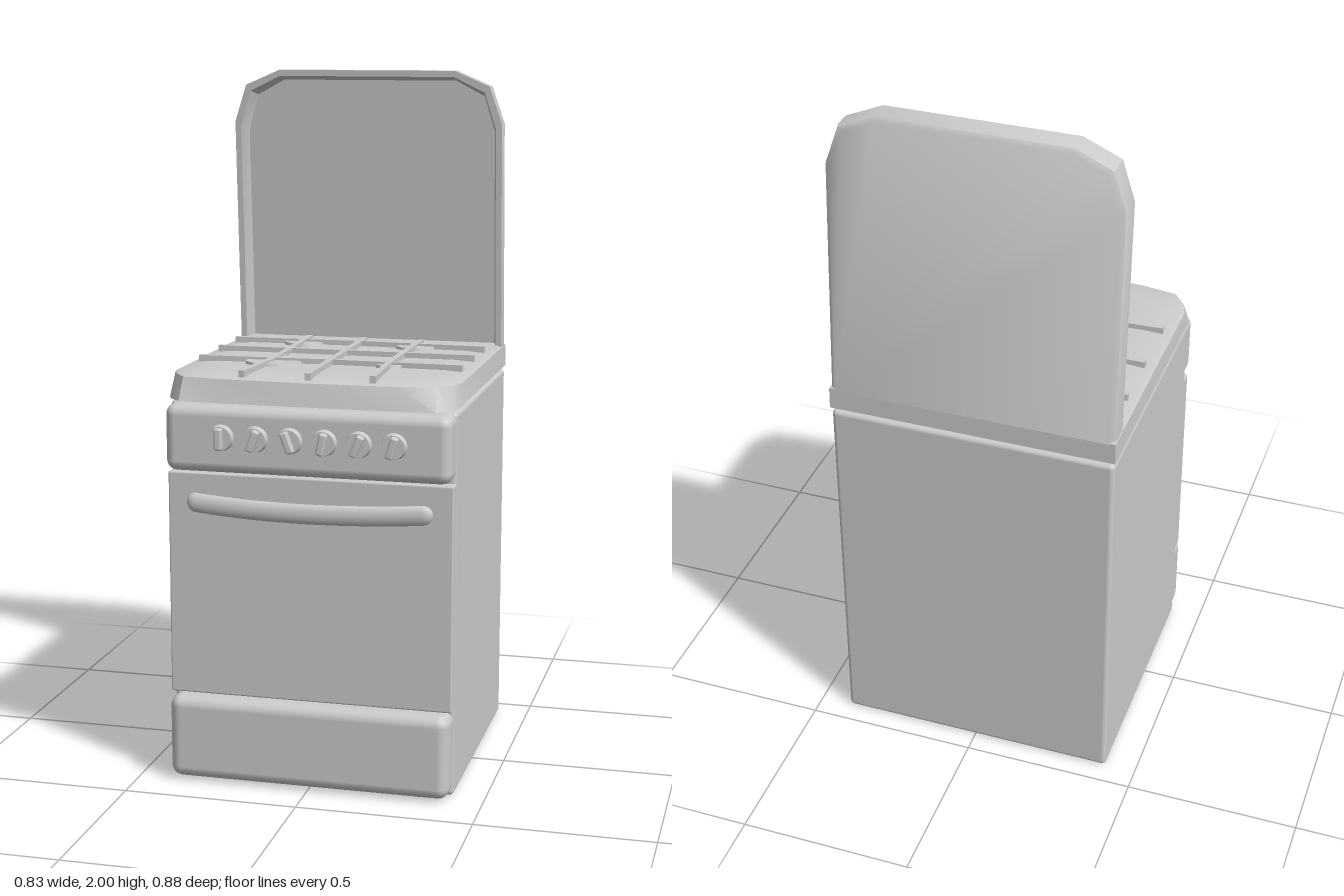
import * as THREE from 'three';
import { toCreasedNormals } from 'three/addons/utils/BufferGeometryUtils.js';
import { RoundedBoxGeometry } from 'three/addons/geometries/RoundedBoxGeometry.js';

// Skin a stack of equal-length convex rings and close both ends
function loft(rings, crease) {
  const n = rings[0].length, pos = [], idx = [];
  rings.forEach(r => r.forEach(p => pos.push(...p)));
  for (let i = 0; i < rings.length - 1; i++) {
    for (let j = 0; j < n; j++) {
      const a = i * n + j, b = i * n + (j + 1) % n;
      idx.push(a, b, a + n, b, b + n, a + n);
    }
  }
  const last = (rings.length - 1) * n;
  for (let j = 1; j < n - 1; j++) {
    idx.push(0, j + 1, j);
    idx.push(last, last + j, last + j + 1);
  }
  const g = new THREE.BufferGeometry();
  g.setAttribute('position', new THREE.Float32BufferAttribute(pos, 3));
  g.setIndex(idx);
  return toCreasedNormals(g, crease);
}

// Complete a half outline (+x side, ending on or near the middle) by mirroring
const mirrorX = half => [...half, ...half.slice().reverse().filter(p => p[0] > 0).map(([x, y]) => [-x, y])];

export function createModel() {
  const root = new THREE.Group();
  const mat = new THREE.MeshStandardMaterial({ color: 0xcccccc });
  const add = (name, geo, x = 0, y = 0, z = 0, parent = root) => {
    const m = new THREE.Mesh(geo, mat);
    m.name = name;
    m.position.set(x, y, z);
    parent.add(m);
    return m;
  };
  // Rounded box given by its bounds
  const block = (name, w, y0, y1, z0, z1, r) =>
    add(name, new RoundedBoxGeometry(w, y1 - y0, z1 - z0, 3, r), 0, (y0 + y1) / 2, (z0 + z1) / 2);

  // Cabinet and front panels
  block('body', 0.82, 0, 1.1, -0.44, 0.315, 0.014);
  block('controlPanel', 0.814, 0.91, 1.1, 0.25, 0.387, 0.03);
  block('ovenDoor', 0.818, 0.256, 0.902, 0.29, 0.35, 0.005);
  block('drawer', 0.814, 0.008, 0.252, 0.25, 0.387, 0.033);

  // Hob: bowed front, sloping edge and slightly raised centre
  const hobRing = (half, y, s = 1) => mirrorX(half).reverse().map(([x, z]) => [x * s, y, (z + 0.03) * s - 0.03]);
  const hobBase = [[0.413, -0.44], [0.413, 0.31], [0.4, 0.345], [0.365, 0.38], [0.25, 0.386], [0, 0.39]];
  const hobTop = [[0.412, -0.44], [0.412, 0.26], [0.395, 0.305], [0.36, 0.35], [0.25, 0.366], [0, 0.374]];
  add('hob', loft([
    hobRing(hobBase, 1.11), hobRing(hobTop, 1.174), hobRing(hobTop, 1.179, 0.97), hobRing(hobTop, 1.184, 0.8),
  ], 0.6));

  // Raised lid: a shallow tray leaning slightly forward
  const lidRing = (d, depth) => mirrorX([
    [0.41 - d, 1.17], [0.41 - d, 1.845 - d * 0.8], [0.373 - d * 0.8, 1.955 - d], [0.268 - d * 0.1, 2 - d],
  ]).map(([x, y]) => [x, y, -0.44 + depth + (y - 1.18) * 0.067]);
  add('lid', loft([
    lidRing(0.016, 0), lidRing(0.004, 0.008), lidRing(0, 0.022), lidRing(0, 0.07),
    lidRing(0.018, 0.07), lidRing(0.03, 0.02),
  ], 0.6));

  // Burners
  const burners = [[-0.17, -0.24, 0.066], [0.175, -0.24, 0.066], [-0.165, 0.115, 0.088], [0.175, 0.115, 0.042]];
  for (const [x, z, r] of burners) {
    add('burner', toCreasedNormals(new THREE.CylinderGeometry(r - 0.006, r, 0.02, 12), 0.6), x, 1.182, z);
  }

  // Pan support: slightly bent bars given as x, z points
  const grate = new THREE.Group();
  grate.name = 'panSupport';
  root.add(grate);
  const bars = [
    [[-0.172, -0.31], [-0.165, 0.1], [-0.19, 0.355]],
    [[0, -0.31], [0, 0.355]],
    [[0.176, -0.31], [0.172, 0.1], [0.183, 0.355]],
    [[-0.385, -0.233], [0, -0.243], [0.385, -0.228]],
    [[-0.385, -0.063], [0.385, -0.063]],
    [[-0.385, 0.124], [0, 0.107], [0.385, 0.117]],
  ];
  for (const pts of bars) {
    for (let i = 0; i < pts.length - 1; i++) {
      const [x0, z0] = pts[i], [x1, z1] = pts[i + 1];
      const len = Math.hypot(x1 - x0, z1 - z0);
      const bar = add('grateBar', new THREE.BoxGeometry(len, 0.02, 0.017), (x0 + x1) / 2, 1.189, (z0 + z1) / 2, grate);
      bar.rotation.y = -Math.atan2(z1 - z0, x1 - x0);
    }
  }

  // Control knobs: disc with a raised grip
  const turns = [0, -0.35, 0.35, -0.2, -0.4, -0.3];
  turns.forEach((turn, i) => {
    const knob = new THREE.Group();
    knob.name = 'knob';
    knob.position.set(-0.24 + i * 0.098, 1.014, 0.385);
    knob.rotation.z = turn;
    root.add(knob);
    const disc = new THREE.CylinderGeometry(0.034, 0.039, 0.026, 16).rotateX(Math.PI / 2);
    add('knobDisc', toCreasedNormals(disc, 0.6), 0, 0, 0.008, knob);
    add('knobGrip', new RoundedBoxGeometry(0.022, 0.062, 0.035, 2, 0.006), 0, 0, 0.023, knob);
  });

  // Oven handle: flattened capsule bowed away from the door
  const handle = new THREE.CapsuleGeometry(0.028, 0.65, 6, 16, 12).rotateZ(Math.PI / 2).scale(1, 1, 0.55);
  const p = handle.attributes.position;
  for (let i = 0; i < p.count; i++) {
    p.setZ(i, p.getZ(i) + 0.07 * (1 - (p.getX(i) / 0.35) ** 2));
  }
  add('handle', handle, 0, 0.82, 0.355);

  return root;
}
